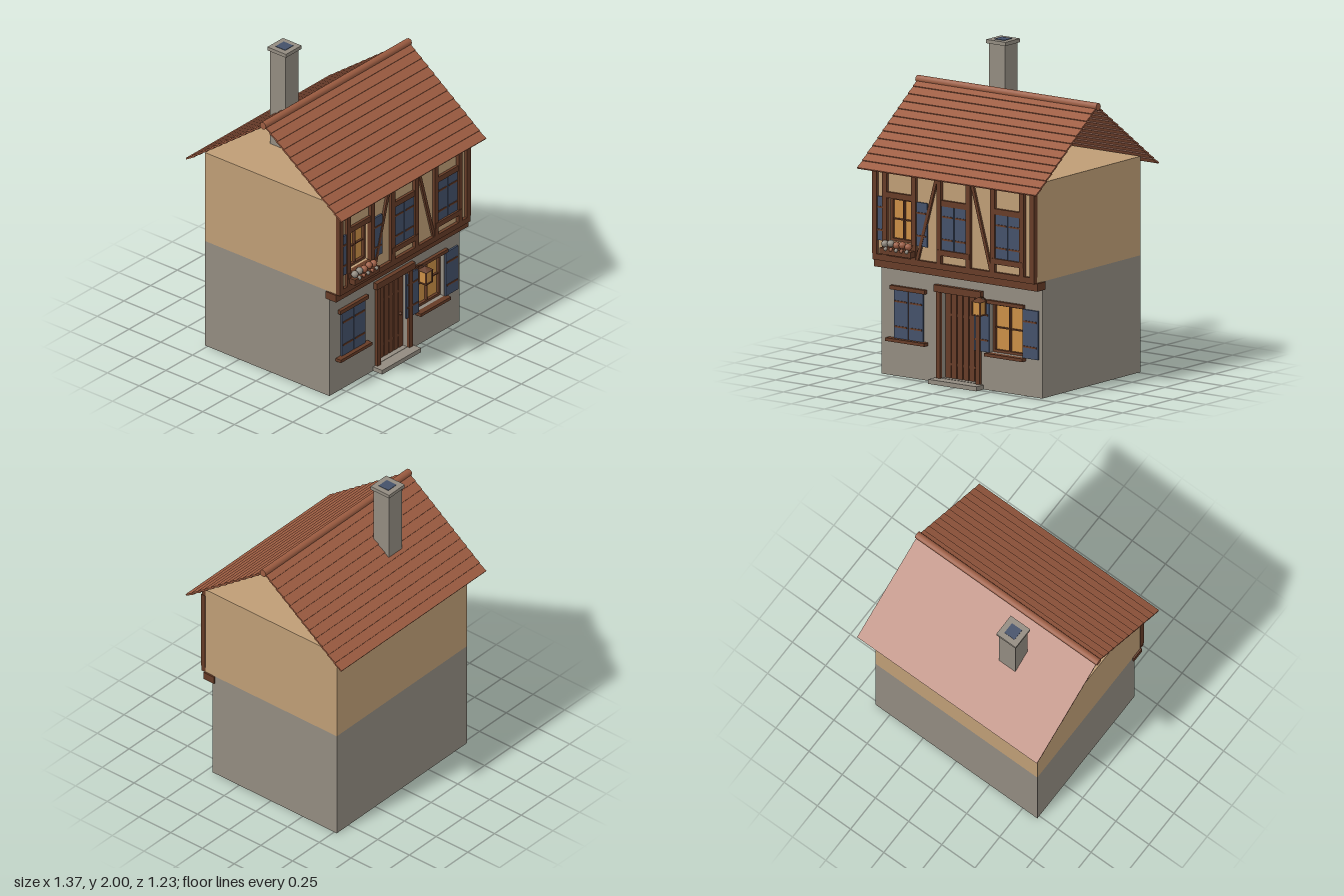
import * as THREE from 'three';

export function createModel() {
  const house = new THREE.Group();
  house.name = 'house';

  const mat = (name, color) => {
    const m = new THREE.MeshStandardMaterial({ color });
    m.name = name;
    return m;
  };
  const stone = mat('stone', 0x928b80);
  const plaster = mat('plaster', 0xbe9d75);
  const wood = mat('timber', 0x653b26);
  const tile = mat('roof tile', 0x9c5c41);
  const blue = mat('blue paint', 0x435069);
  const amber = mat('lit glass', 0xc98e46);

  const add = (name, geo, m, parent = house) => {
    const mesh = new THREE.Mesh(geo, m);
    mesh.name = name;
    parent.add(mesh);
    return mesh;
  };
  // Box given by its limits on each axis
  const box = (name, m, x0, x1, y0, y1, z0, z1, parent = house) => {
    const mesh = add(name, new THREE.BoxGeometry(x1 - x0, y1 - y0, z1 - z0), m, parent);
    mesh.position.set((x0 + x1) / 2, (y0 + y1) / 2, (z0 + z1) / 2);
    return mesh;
  };
  const group = (name) => {
    const g = new THREE.Group();
    g.name = name;
    house.add(g);
    return g;
  };

  // Front wall slab with rectangular openings [x0, x1, y0, y1]
  const DEPTH = 0.055;
  const rect = (P, x0, x1, y0, y1) => {
    const p = new P();
    p.moveTo(x0, y0);
    p.lineTo(x1, y0);
    p.lineTo(x1, y1);
    p.lineTo(x0, y1);
    p.closePath();
    return p;
  };
  const frontWall = (name, m, y0, y1, zFront, holes) => {
    const s = rect(THREE.Shape, -0.61, 0.61, y0, y1);
    for (const h of holes) s.holes.push(rect(THREE.Path, ...h));
    const geo = new THREE.ExtrudeGeometry(s, { depth: DEPTH, bevelEnabled: false });
    add(name, geo, m).position.z = zFront - DEPTH;
  };

  // Storeys
  const Z1 = 0.46, Z2 = 0.525;
  box('lowerStorey', stone, -0.61, 0.61, 0, 0.72, -0.52, Z1 - DEPTH);
  frontWall('lowerFrontWall', stone, 0, 0.72, Z1, [[-0.15, 0.12, 0.03, 0.56], [0.215, 0.465, 0.235, 0.54]]);
  box('upperStorey', plaster, -0.61, 0.61, 0.72, 1.33, -0.52, Z2 - DEPTH);
  frontWall('upperFrontWall', plaster, 0.72, 1.33, Z2, [[-0.51, -0.315, 0.84, 1.11]]);

  // Lit window set back in its opening, with frame and glazing bars
  const litWindow = (x0, x1, y0, y1, zWall) => {
    const g = group('litWindow');
    const z = zWall - DEPTH, f = 0.016, xm = (x0 + x1) / 2, ym = (y0 + y1) / 2;
    box('glass', amber, x0, x1, y0, y1, z, z + 0.009, g);
    for (const x of [x0, xm - f / 4, x1 - f]) {
      box('upright', wood, x, x + (x === xm - f / 4 ? f / 2 : f), y0, y1, z + 0.005, z + 0.028, g);
    }
    for (const y of [y0, y1 - f]) box('rail', wood, x0, x1, y, y + f, z + 0.005, z + 0.028, g);
    box('glazingBar', wood, x0, x1, ym - f / 4, ym + f / 4, z + 0.005, z + 0.022, g);
  };
  // One shutter leaf with two battens
  const shutter = (x0, x1, y0, y1, zWall) => {
    const g = group('shutter');
    const h = y1 - y0;
    box('leaf', blue, x0, x1, y0, y1, zWall, zWall + 0.012, g);
    for (const t of [0.24, 0.76]) {
      const y = y0 + h * t;
      box('batten', wood, x0 + 0.008, x1 - 0.008, y - 0.005, y + 0.005, zWall + 0.01, zWall + 0.017, g);
    }
  };
  const closedShutters = (x0, x1, y0, y1, zWall) => {
    const xm = (x0 + x1) / 2;
    box('shutterGap', wood, xm - 0.006, xm + 0.006, y0, y1, zWall, zWall + 0.006);
    shutter(x0, xm - 0.003, y0, y1, zWall);
    shutter(xm + 0.003, x1, y0, y1, zWall);
  };

  // Ground floor windows
  closedShutters(-0.505, -0.285, 0.235, 0.535, Z1);
  box('leftWindowLintel', wood, -0.53, -0.265, 0.533, 0.558, Z1, 0.482);
  box('leftWindowSill', wood, -0.55, -0.255, 0.215, 0.235, Z1, 0.5);
  litWindow(0.215, 0.465, 0.235, 0.54, Z1);
  shutter(0.1, 0.215, 0.235, 0.535, Z1);
  shutter(0.468, 0.585, 0.235, 0.535, Z1);
  box('rightWindowLintel', wood, 0.2, 0.48, 0.538, 0.56, Z1, 0.482);
  box('rightWindowSill', wood, 0.2, 0.485, 0.215, 0.235, Z1, 0.5);

  // Door: planks, battens, frame, knob and step
  const door = group('door');
  box('backing', wood, -0.15, 0.12, 0.03, 0.56, 0.405, 0.412, door);
  for (let i = 0; i < 6; i++) {
    const x = -0.15 + i * 0.045;
    box('plank', wood, x + 0.003, x + 0.042, 0.03, 0.55, 0.41, 0.428, door);
  }
  for (const y of [0.115, 0.42]) box('batten', wood, -0.145, 0.115, y - 0.008, y + 0.008, 0.41, 0.426, door);
  const knob = add('knob', new THREE.SphereGeometry(0.01, 8, 6), wood, door);
  knob.position.set(0.087, 0.265, 0.436);
  box('leftJamb', wood, -0.18, -0.15, 0.03, 0.56, Z1, 0.48, door);
  box('rightJamb', wood, 0.12, 0.15, 0.03, 0.56, Z1, 0.48, door);
  box('doorLintel', wood, -0.195, 0.165, 0.562, 0.605, Z1, 0.488, door);
  box('doorStep', stone, -0.2, 0.165, 0, 0.028, 0.45, 0.532);

  // Lantern on an arched bracket
  const lantern = group('lantern');
  const LX = 0.193, LZ = 0.542;
  const arm = new THREE.CatmullRomCurve3([
    new THREE.Vector3(LX, 0.535, Z1),
    new THREE.Vector3(LX, 0.565, 0.485),
    new THREE.Vector3(LX, 0.582, 0.515),
    new THREE.Vector3(LX, 0.58, LZ),
  ]);
  add('bracket', new THREE.TubeGeometry(arm, 10, 0.005, 6), wood, lantern);
  box('lanternGlass', amber, LX - 0.027, LX + 0.027, 0.48, 0.56, LZ - 0.027, LZ + 0.027, lantern);
  box('lanternBase', wood, LX - 0.032, LX + 0.032, 0.473, 0.481, LZ - 0.032, LZ + 0.032, lantern);
  for (const sx of [-1, 1]) for (const sz of [-1, 1]) {
    const x = LX + sx * 0.028, z = LZ + sz * 0.028;
    box('lanternCorner', wood, x - 0.004, x + 0.004, 0.475, 0.562, z - 0.004, z + 0.004, lantern);
  }
  const cap = add('lanternCap', new THREE.ConeGeometry(0.05, 0.027, 4).rotateY(Math.PI / 4), wood, lantern);
  cap.position.set(LX, 0.573, LZ);

  // Timber framing of the upper storey
  const frame = group('timberFrame');
  const ZF = 0.546;
  box('floorBeam', wood, -0.62, 0.62, 0.67, 0.718, 0.44, 0.522, frame);
  box('soleBeam', wood, -0.612, 0.612, 0.718, 0.755, Z2 - 0.01, ZF, frame);
  box('topBeam', wood, -0.612, 0.612, 1.285, 1.325, Z2 - 0.01, 0.541, frame);
  for (const x of [-0.597, 0.597]) box('cornerPost', wood, x - 0.017, x + 0.017, 0.755, 1.285, Z2 - 0.01, ZF, frame);
  for (const x of [-0.413, 0, 0.407]) {
    for (const s of [-1, 1]) {
      const px = x + s * 0.111;
      box('windowPost', wood, px - 0.017, px + 0.017, 0.755, 1.285, Z2 - 0.01, ZF, frame);
    }
    box('windowHead', wood, x - 0.096, x + 0.096, 1.11, 1.146, Z2 - 0.01, ZF - 0.003, frame);
    box('windowSill', wood, x - 0.125, x + 0.125, 0.806, 0.84, Z2 - 0.01, ZF + 0.004, frame);
  }
  for (const s of [-1, 1]) {
    const dx = 0.15, dy = 0.535;
    const b = add('brace', new THREE.BoxGeometry(0.02, Math.hypot(dx, dy), 0.018), wood, frame);
    b.position.set(s * 0.206, 1.018, Z2 + 0.006);
    b.rotation.z = s * Math.atan2(dx, dy);
  }

  // Upper windows
  litWindow(-0.51, -0.315, 0.84, 1.11, Z2);
  shutter(-0.612, -0.51, 0.84, 1.11, Z2);
  shutter(-0.315, -0.205, 0.84, 1.11, Z2);
  for (const x of [0, 0.407]) closedShutters(x - 0.096, x + 0.096, 0.84, 1.11, Z2);

  // Flower box
  const flowers = group('flowerBox');
  box('trough', wood, -0.525, -0.29, 0.77, 0.808, Z2, 0.59, flowers);
  for (let i = 0; i < 5; i++) {
    const m = i < 2 ? stone : tile;
    const big = add('bloom', new THREE.SphereGeometry(0.023, 8, 6), m, flowers);
    big.position.set(-0.5 + i * 0.044, 0.832 + (i % 2) * 0.006, 0.568);
    const small = add('smallBloom', new THREE.SphereGeometry(0.013, 7, 5), i % 2 ? tile : stone, flowers);
    small.position.set(-0.48 + i * 0.04, 0.806, 0.588);
  }

  // Roof: overlapping tile courses on both slopes
  const PITCH = Math.atan2(0.45, 0.61), ROWS = 12, STEP = 0.755 / ROWS;
  for (const side of [0, Math.PI]) {
    const turn = group(side ? 'backRoof' : 'frontRoof');
    turn.position.y = 1.73;
    turn.rotation.y = side;
    const slope = new THREE.Group();
    slope.name = 'slope';
    slope.rotation.x = PITCH;
    turn.add(slope);
    for (let i = 0; i < ROWS; i++) {
      const row = add('tileCourse', new THREE.BoxGeometry(1.354, 0.01, STEP + 0.008), tile, slope);
      row.position.set(0, 0, (i + 0.5) * STEP);
      row.rotation.x = -0.1;
    }
  }
  const ridge = add('ridge', new THREE.CylinderGeometry(0.024, 0.024, 1.37, 8).rotateZ(Math.PI / 2), tile);
  ridge.position.y = 1.73;

  // Chimney with cap and flue
  const CX = -0.211, CZ = -0.229;
  box('chimney', stone, CX - 0.061, CX + 0.061, 1.32, 1.975, CZ - 0.061, CZ + 0.061);
  box('chimneyCap', stone, CX - 0.073, CX + 0.073, 1.974, 1.997, CZ - 0.073, CZ + 0.073);
  box('flue', blue, CX - 0.038, CX + 0.038, 1.995, 2, CZ - 0.038, CZ + 0.038);

  return house;
}
